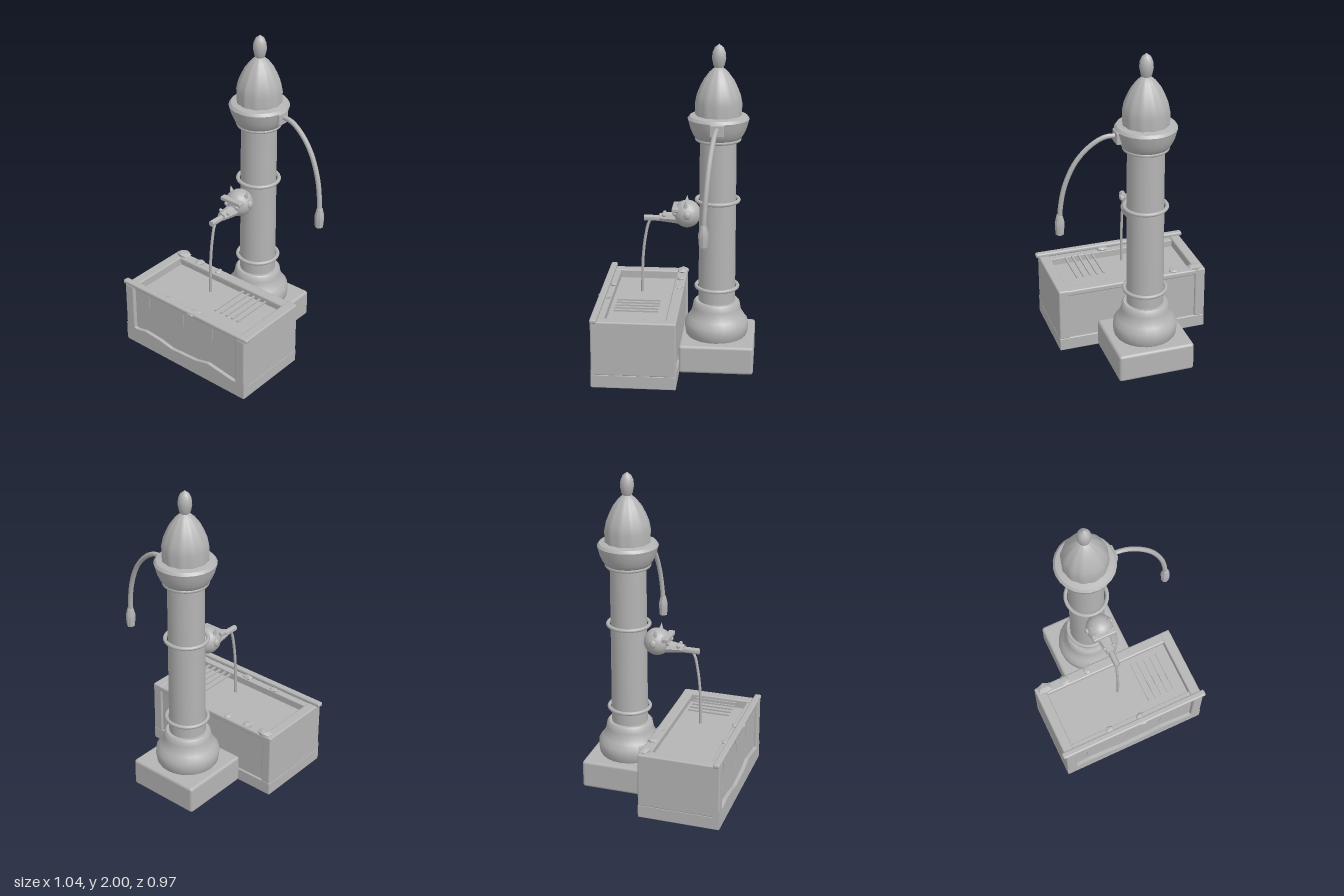
import * as THREE from 'three';
import { toCreasedNormals } from 'three/addons/utils/BufferGeometryUtils.js';
import { RoundedBoxGeometry } from 'three/addons/geometries/RoundedBoxGeometry.js';

export function createModel() {
  const group = new THREE.Group();
  const stone = new THREE.MeshStandardMaterial({ color: 0xb4b4b4 });
  stone.name = 'stone grey';
  const CX = -0.02, CZ = -0.25; // column axis

  const add = (name, geo, x = 0, y = 0, z = 0) => {
    const mesh = new THREE.Mesh(geo, stone);
    mesh.name = name;
    mesh.position.set(x, y, z);
    group.add(mesh);
    return mesh;
  };
  // Rounded block given by its limits on each axis
  const block = (name, x0, x1, y0, y1, z0, z1, r = 0.01) =>
    add(name, new RoundedBoxGeometry(x1 - x0, y1 - y0, z1 - z0, 2, r),
      (x0 + x1) / 2, (y0 + y1) / 2, (z0 + z1) / 2);
  const lathe = (pts, seg) => new THREE.LatheGeometry(pts.map(p => new THREE.Vector2(...p)), seg);
  const curve = pts => new THREE.CatmullRomCurve3(pts.map(p => new THREE.Vector3(...p)));

  // Plinth, pedestal and shaft
  block('plinth', -0.26, 0.22, 0, 0.18, -0.487, -0.03, 0.018);
  add('pedestal', toCreasedNormals(lathe([[0.18, 0.17], [0.192, 0.19], [0.198, 0.23], [0.195, 0.27],
    [0.172, 0.3], [0.155, 0.33], [0.148, 0.36], [0.143, 0.39], [0.132, 0.402], [0, 0.402]], 24), 0.7), CX, 0, CZ);
  add('shaft', new THREE.CylinderGeometry(0.11, 0.114, 1.06, 20), CX, 0.92, CZ);
  for (const y of [0.495, 1.05, 1.43]) {
    add('columnRing', new THREE.TorusGeometry(0.128, 0.012, 8, 32), CX, y, CZ).rotation.x = Math.PI / 2;
  }

  // Capital with scalloped dome and finial
  add('capital', toCreasedNormals(lathe([[0.11, 1.42], [0.14, 1.44], [0.155, 1.465], [0.17, 1.5], [0.178, 1.53],
    [0.185, 1.555], [0.172, 1.572], [0.13, 1.58]], 24), 0.6), CX, 0, CZ);
  const dome = lathe([[0.136, 1.56], [0.138, 1.65], [0.128, 1.7], [0.11, 1.745], [0.088, 1.79],
    [0.055, 1.835], [0.025, 1.862], [0, 1.87]], 48);
  const p = dome.attributes.position;
  for (let i = 0; i < p.count; i++) {
    const s = 1 + 0.018 * Math.cos(12 * Math.atan2(p.getZ(i), p.getX(i)));
    p.setX(i, p.getX(i) * s);
    p.setZ(i, p.getZ(i) * s);
  }
  dome.computeVertexNormals();
  add('dome', dome, CX, 0, CZ);
  add('finial', lathe([[0.02, 1.85], [0.034, 1.875], [0.042, 1.915], [0.039, 1.95], [0.026, 1.98], [0, 2]], 12), CX, 0, CZ);

  // Pump arm
  block('armBracket', 0.12, 0.17, 1.48, 1.555, -0.292, -0.207, 0.006);
  add('pumpArm', new THREE.TubeGeometry(curve([[0.15, 1.525, -0.25], [0.23, 1.52, -0.243], [0.32, 1.465, -0.232],
    [0.4, 1.37, -0.22], [0.46, 1.23, -0.208], [0.485, 1.1, -0.2], [0.49, 1.03, -0.197]]), 24, 0.015, 8));
  add('armHandle', toCreasedNormals(lathe([[0, 0.92], [0.025, 0.92], [0.029, 0.97], [0.029, 1], [0.018, 1.045], [0, 1.05]], 8), 0.6),
    0.492, 0, -0.196);

  // Animal head spout
  add('head', new THREE.SphereGeometry(0.085, 16, 12), CX, 0.955, -0.065);
  block('brow', CX - 0.078, CX + 0.078, 0.98, 1.008, -0.018, 0.025, 0.008);
  const muzzle = add('muzzle', toCreasedNormals(new THREE.CylinderGeometry(0.03, 0.048, 0.12, 8), 0.5), CX, 0.928, 0.045);
  muzzle.rotation.x = Math.PI / 2;
  muzzle.scale.z = 0.85;
  add('spout', toCreasedNormals(new THREE.CylinderGeometry(0.019, 0.019, 0.12, 10), 0.8), CX, 0.922, 0.14).rotation.x = Math.PI / 2;
  for (const s of [-1, 1]) {
    const horn = add('horn', new THREE.ConeGeometry(0.02, 0.06, 8), CX + s * 0.058, 1.025, -0.06);
    horn.rotation.z = -s * 0.3;
    const ear = add('ear', new THREE.SphereGeometry(0.022, 10, 8), CX + s * 0.08, 0.965, -0.07);
    ear.scale.set(0.7, 1.2, 1);
    add('eye', new THREE.SphereGeometry(0.014, 10, 8), CX + s * 0.04, 0.965, 0.01);
    add('nostril', new THREE.SphereGeometry(0.012, 8, 6), CX + s * 0.03, 0.95, 0.075);
  }
  add('waterStream', new THREE.TubeGeometry(curve([[CX, 0.92, 0.15], [CX, 0.895, 0.17], [CX, 0.8, 0.192],
    [CX, 0.66, 0.208], [CX, 0.44, 0.213]]), 20, 0.009, 8));

  // Trough
  block('rightWall', -0.503, -0.435, 0.08, 0.425, -0.036, 0.475);
  block('leftWall', 0.398, 0.466, 0.08, 0.425, -0.036, 0.475);
  block('backRail', -0.46, 0.42, 0.385, 0.422, -0.036, 0.032);
  block('backPanel', -0.46, 0.42, 0.06, 0.41, -0.024, 0.025, 0.004);
  block('frontPanel', -0.46, 0.42, 0.06, 0.415, 0.4, 0.452, 0.004);
  block('frontLip', -0.52, 0.485, 0.418, 0.446, 0.433, 0.475);
  block('troughBase', -0.503, 0.466, 0, 0.085, -0.036, 0.475, 0.006);
  add('water', new THREE.BoxGeometry(0.86, 0.02, 0.4), -0.02, 0.36, 0.215);

  // Uneven skirting along the front
  const edge = [[0.466, 0.12], [0.38, 0.1], [0.28, 0.115], [0.18, 0.13], [0.08, 0.105], [-0.02, 0.1],
    [-0.12, 0.095], [-0.22, 0.115], [-0.34, 0.125], [-0.42, 0.11], [-0.503, 0.13]];
  const skirt = new THREE.Shape([[-0.503, 0.01], [0.466, 0.01], ...edge].map(q => new THREE.Vector2(...q)));
  add('frontSkirting', new THREE.ExtrudeGeometry(skirt, { depth: 0.025, bevelEnabled: false }), 0, 0, 0.45);

  // Thin drip stains on the front panel
  const drip = new THREE.Shape();
  drip.moveTo(-0.03, 0.415);
  drip.bezierCurveTo(0, 0.36, 0.02, 0.31, -0.01, 0.2);
  drip.bezierCurveTo(0.045, 0.29, 0.03, 0.35, 0.03, 0.415);
  const dripGeo = new THREE.ExtrudeGeometry(drip, { depth: 0.004, bevelEnabled: false });
  for (const x of [-0.35, -0.06, 0.17]) add('dripStain', dripGeo, x, 0, 0.451);

  // Grating bars
  for (let i = 0; i < 5; i++) {
    add('gratingBar', new THREE.BoxGeometry(0.011, 0.01, 0.266), 0.137 + i * 0.044, 0.441, 0.218);
  }

  // Loose flat pebbles on the rims: x, y, z, radius, depth scale
  const pebbles = [[-0.44, 0.432, -0.008, 0.053, 0.8], [-0.3, 0.428, -0.004, 0.036, 1], [-0.142, 0.426, -0.006, 0.024, 1.3],
    [-0.175, 0.422, 0.415, 0.034, 0.7], [0.045, 0.425, 0.42, 0.04, 0.6], [0.045, 0.43, 0.467, 0.034, 0.5]];
  pebbles.forEach(([x, y, z, r, d], i) => {
    const geo = new THREE.IcosahedronGeometry(r, 0).rotateY(i * 1.3).scale(1, 0.35, d);
    add('pebble', geo, x, y, z);
  });

  return group;
}
